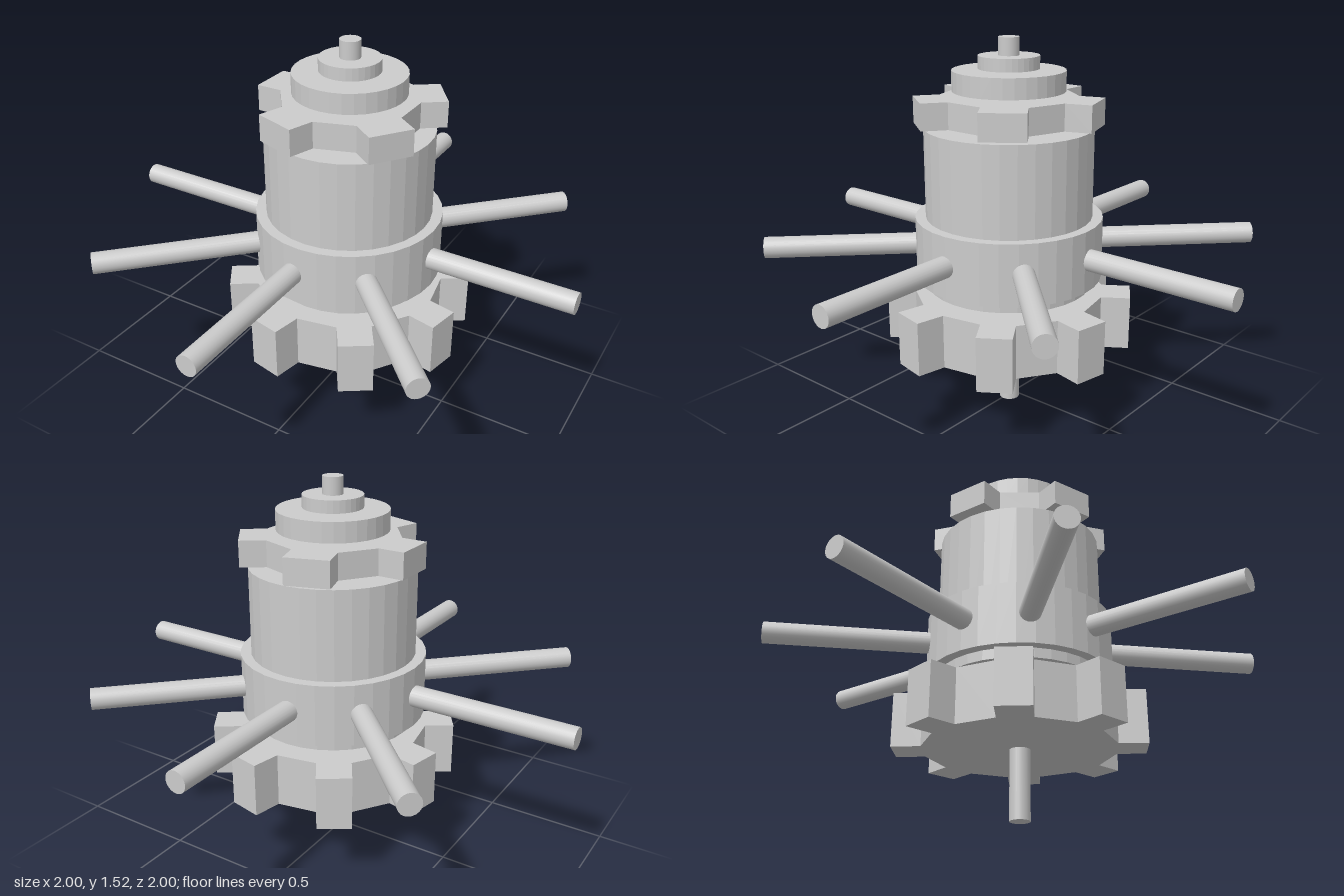
import * as THREE from 'three';

const material = new THREE.MeshStandardMaterial({ color: 0xcccccc, flatShading: true });
const smooth = new THREE.MeshStandardMaterial({ color: 0xcccccc });

// Upright cylinder between two heights
function disc(name, radius, y0, y1, sides = 32, mat = material) {
  const mesh = new THREE.Mesh(new THREE.CylinderGeometry(radius, radius, y1 - y0, sides), mat);
  mesh.name = name;
  mesh.position.y = (y0 + y1) / 2;
  return mesh;
}

// Gear with straight, square-sided teeth and flat roots
function gear(name, { teeth, root, tip, halfWidth, start, y0, y1 }) {
  const points = [];
  for (let i = 0; i < teeth; i++) {
    const a = THREE.MathUtils.degToRad(start + (i * 360) / teeth);
    for (const [r, w] of [[root, -1], [tip, -1], [tip, 1], [root, 1]]) {
      points.push(new THREE.Vector2(r, w * halfWidth).rotateAround(new THREE.Vector2(), a));
    }
  }
  const geometry = new THREE.ExtrudeGeometry(new THREE.Shape(points), { depth: y1 - y0, bevelEnabled: false });
  geometry.rotateX(-Math.PI / 2);
  const mesh = new THREE.Mesh(geometry, material);
  mesh.name = name;
  mesh.position.y = y0;
  return mesh;
}

export function createModel() {
  const model = new THREE.Group();
  model.name = 'spokedGearHub';

  // Stack of turned parts and gears on the shaft, slightly off the spoke centre
  const stack = new THREE.Group();
  stack.name = 'hubStack';
  stack.position.set(0.035, 0, -0.007);
  stack.add(
    disc('shaft', 0.041, 0, 1.525, 24, smooth),
    gear('lowerGear', { teeth: 8, root: 0.38, tip: 0.497, halfWidth: 0.068, start: 33.3, y0: 0.28, y1: 0.5 }),
    disc('drum', 0.335, 0.53, 1.18),
    disc('collar', 0.377, 0.57, 0.82),
    gear('upperGear', { teeth: 5, root: 0.257, tip: 0.362, halfWidth: 0.088, start: 36, y0: 1.195, y1: 1.3 }),
    disc('largeWasher', 0.222, 1.32, 1.4),
    disc('smallWasher', 0.12, 1.405, 1.455)
  );
  model.add(stack);

  // Four bars crossing at the centre make eight spokes
  const barGeometry = new THREE.CylinderGeometry(0.043, 0.043, 2, 24).rotateZ(Math.PI / 2);
  for (let i = 0; i < 4; i++) {
    const bar = new THREE.Mesh(barGeometry, smooth);
    bar.name = `spokeBar${i + 1}`;
    bar.position.y = 0.698;
    bar.rotation.y = (i * Math.PI) / 4;
    model.add(bar);
  }
  return model;
}
